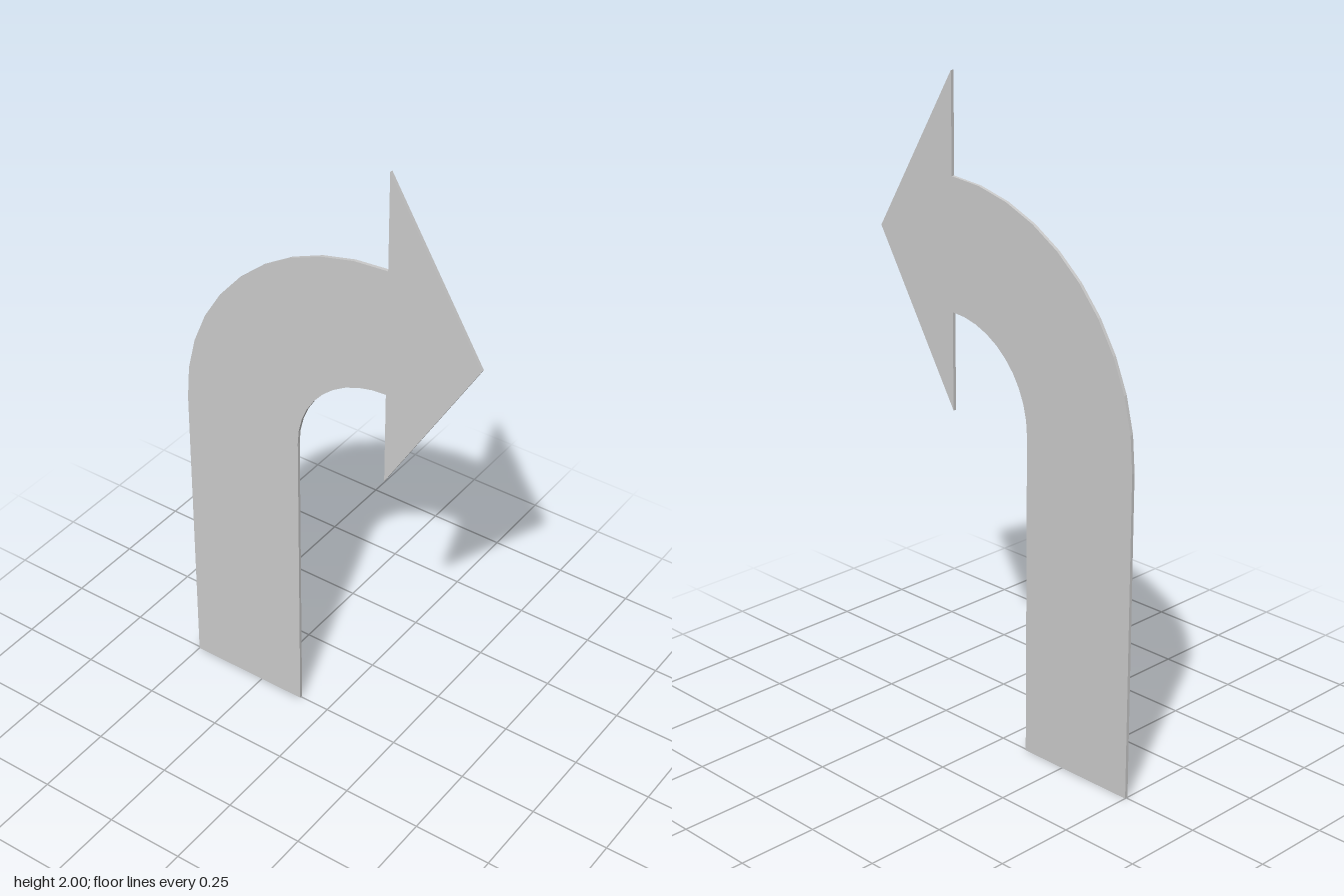
import * as THREE from 'three';

export function createModel() {
  const group = new THREE.Group();
  const thickness = 0.01;
  const bend = { x: 0.2, y: 1 }; // shared centre of both bend arcs
  const outer = 0.7, inner = 0.3;

  // Outline: straight shaft, quarter bend, triangular head
  const outline = new THREE.Shape();
  outline.moveTo(bend.x - inner, 0);
  outline.lineTo(bend.x - inner, bend.y);
  outline.absarc(bend.x, bend.y, inner, Math.PI, Math.PI / 2, true);
  outline.lineTo(bend.x, 1);
  outline.lineTo(0.5, 1.5);
  outline.lineTo(bend.x, 2);
  outline.lineTo(bend.x, bend.y + outer);
  outline.absarc(bend.x, bend.y, outer, Math.PI / 2, Math.PI, false);
  outline.lineTo(bend.x - outer, 0);
  outline.closePath();

  // Thin plate; arcs get twice curveSegments, so ten facets each
  const geometry = new THREE.ExtrudeGeometry(outline, {
    depth: thickness, bevelEnabled: false, curveSegments: 5,
  });
  geometry.translate(0, 0, -thickness / 2);

  const arrow = new THREE.Mesh(
    geometry,
    new THREE.MeshStandardMaterial({ color: 0xcccccc, flatShading: true }),
  );
  arrow.name = 'curvedArrow';
  group.add(arrow);
  return group;
}
